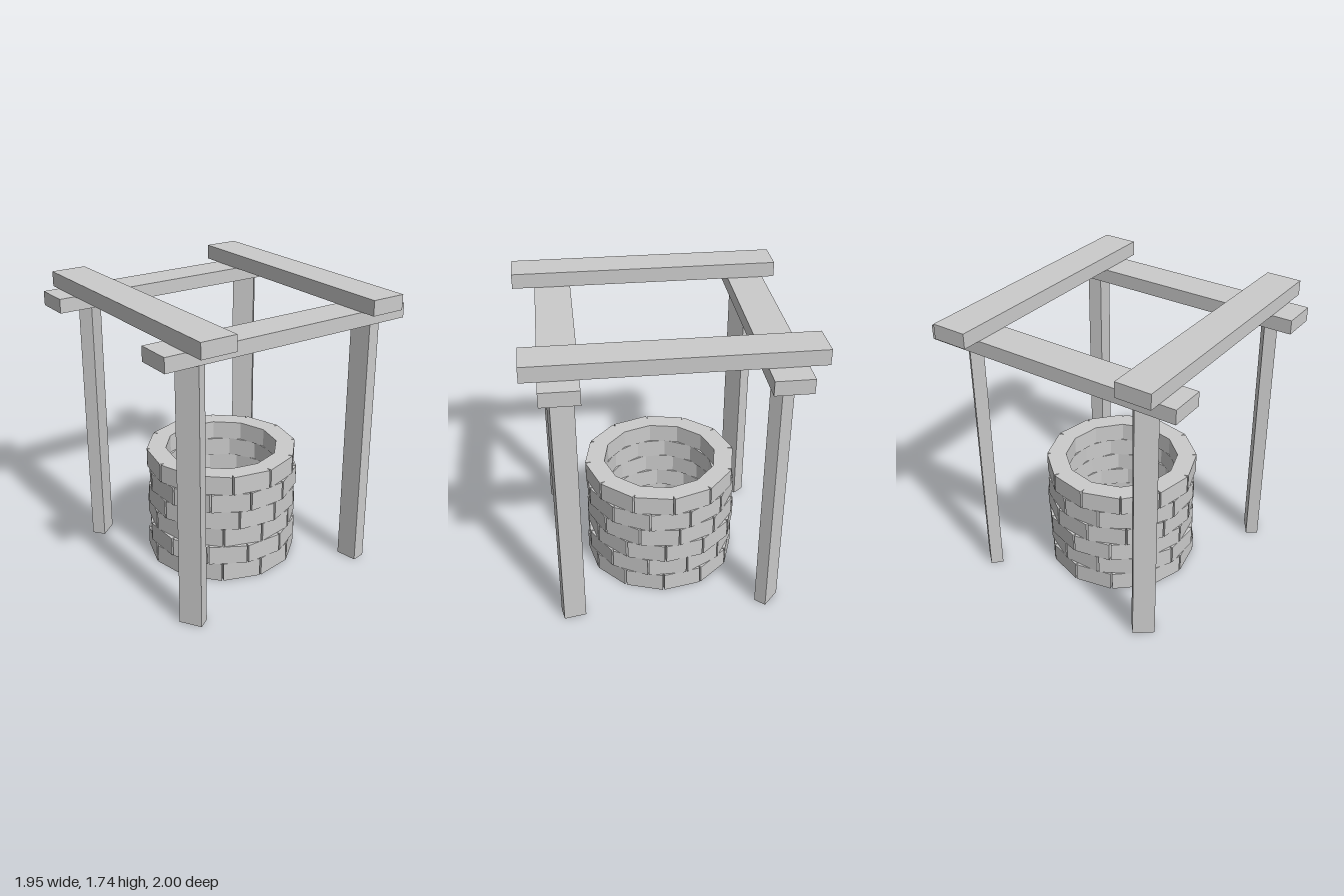
import * as THREE from 'three';

const rad = THREE.MathUtils.degToRad;
const grey = new THREE.MeshStandardMaterial({ color: 0xcccccc, flatShading: true });

// Box with its underside at height y, turned about the vertical
function timber(name, [w, h, d], [x, y, z], turn) {
  const mesh = new THREE.Mesh(new THREE.BoxGeometry(w, h, d), grey);
  mesh.name = name;
  mesh.position.set(x, y + h / 2, z);
  mesh.rotation.y = rad(turn);
  return mesh;
}

// Point at an angle measured from the front (+z) towards +x, for a shape later laid flat
const polar = (r, deg) => new THREE.Vector2(r * Math.sin(rad(deg)), -r * Math.cos(rad(deg)));

// One course of twelve flat stones: a polygon ring with a thin notch at each joint
function stoneCourse(offset, height, outer, inner) {
  const ring = [], hole = [];
  for (let i = 0; i < 12; i++) {
    const a = offset + i * 30;
    ring.push(polar(outer - 0.002, a - 0.7), polar(outer - 0.035, a), polar(outer - 0.002, a + 0.7));
    hole.push(polar(inner, a));
  }
  const shape = new THREE.Shape(ring);
  shape.holes.push(new THREE.Path(hole));
  const geometry = new THREE.ExtrudeGeometry(shape, { depth: height, bevelEnabled: false });
  return geometry.rotateX(-Math.PI / 2);
}

export function createModel() {
  const model = new THREE.Group();
  model.name = 'well';

  // Stone wall, courses from bottom to top: joint angle, centre x, centre z
  const wall = new THREE.Group();
  wall.name = 'stoneWall';
  const courses = [
    [15, 0.005, -0.02], [4, 0.005, -0.014], [15.5, 0.01, -0.029],
    [-3, 0.01, -0.022], [5.6, 0.01, -0.018], [22.4, 0.007, -0.021],
  ];
  const courseHeight = 0.7 / courses.length;
  courses.forEach(([offset, x, z], i) => {
    const mesh = new THREE.Mesh(stoneCourse(offset, courseHeight, 0.468, 0.348), grey);
    mesh.name = 'stoneCourse' + (i + 1);
    mesh.position.set(x, i * courseHeight, z);
    wall.add(mesh);
  });
  model.add(wall);

  // Four posts, each set at its own slight twist
  const postHeight = 1.565;
  model.add(
    timber('frontRightPost', [0.135, postHeight, 0.075], [-0.39, 0, 0.772], -38),
    timber('frontLeftPost', [0.132, postHeight, 0.085], [0.755, 0, 0.352], -61),
    timber('backRightPost', [0.083, postHeight, 0.13], [-0.71, 0, -0.398], -33),
    timber('backLeftPost', [0.138, postHeight, 0.076], [0.38, 0, -0.765], -23.5),
  );

  // Roof frame: two cross beams with two more laid over them
  const turn = 18.7, length = 1.606, width = 0.215;
  model.add(
    timber('frontBeam', [length, 0.085, width], [0.176, 1.565, 0.552], turn),
    timber('backBeam', [length, 0.085, width], [-0.18, 1.565, -0.58], turn),
    timber('leftTopBeam', [width, 0.09, length], [0.537, 1.65, -0.207], turn),
    timber('rightTopBeam', [width, 0.09, length], [-0.547, 1.65, 0.203], turn),
  );
  return model;
}
